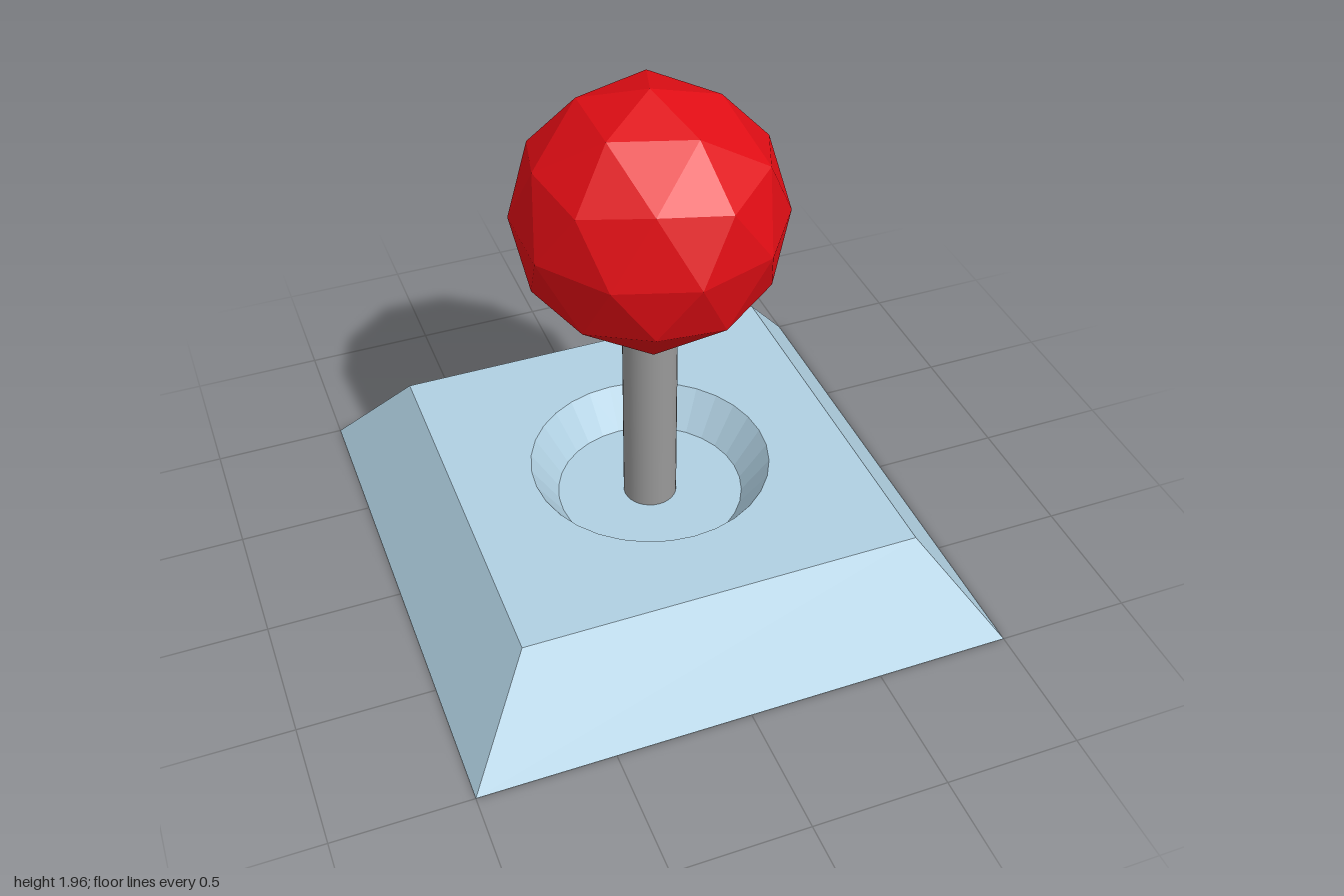
import * as THREE from 'three';

const TOP = 0.365, FLOOR = 0.215, HALF_TOP = 0.74;
const RIM = 0.45, FLOOR_RADIUS = 0.35, SIDES = 32;

function addMesh(parent, name, geometry, material) {
  const mesh = new THREE.Mesh(geometry, material);
  mesh.name = name;
  parent.add(mesh);
  return mesh;
}

// Square tapered base with a round, sloping recess in its top
function createBase() {
  const base = new THREE.Group();
  base.name = 'base';
  const blue = new THREE.MeshStandardMaterial({ color: 0xb0d0e2, flatShading: true });

  const sides = new THREE.CylinderGeometry(HALF_TOP * Math.SQRT2, Math.SQRT2, TOP, 4, 1, true);
  sides.rotateY(Math.PI / 4).translate(0, TOP / 2, 0);
  addMesh(base, 'baseSides', sides, blue);

  addMesh(base, 'baseBottom', new THREE.PlaneGeometry(2, 2).rotateX(Math.PI / 2), blue);

  const square = new THREE.Shape([
    new THREE.Vector2(-HALF_TOP, -HALF_TOP), new THREE.Vector2(HALF_TOP, -HALF_TOP),
    new THREE.Vector2(HALF_TOP, HALF_TOP), new THREE.Vector2(-HALF_TOP, HALF_TOP),
  ]);
  square.holes.push(new THREE.Path().absarc(0, 0, RIM, 0, Math.PI * 2, true));
  const top = new THREE.ShapeGeometry(square, SIDES / 2);
  addMesh(base, 'baseTop', top.rotateX(-Math.PI / 2).translate(0, TOP, 0), blue);

  // Profile runs from the rim inwards so the faces look up into the recess
  const profile = [[RIM, TOP], [FLOOR_RADIUS, FLOOR], [0, FLOOR]];
  const recess = new THREE.LatheGeometry(profile.map(([x, y]) => new THREE.Vector2(x, y)), SIDES);
  addMesh(base, 'recess', recess, blue);
  return base;
}

export function createModel() {
  const model = new THREE.Group();
  model.name = 'joystick';
  model.add(createBase());

  // Stick from the recess floor into the ball
  const stick = new THREE.CylinderGeometry(0.1, 0.1, 0.9, SIDES).translate(0, FLOOR + 0.45, 0);
  addMesh(model, 'stick', stick, new THREE.MeshStandardMaterial({ color: 0x999999 }));

  // Faceted ball, turned so that a vertex points straight up
  const ball = new THREE.IcosahedronGeometry(0.484, 1);
  ball.rotateZ(-Math.atan(2 / (1 + Math.sqrt(5)))).translate(0, 1.476, 0);
  addMesh(model, 'ball', ball, new THREE.MeshStandardMaterial({ color: 0xe00d14, flatShading: true }));

  return model;
}
